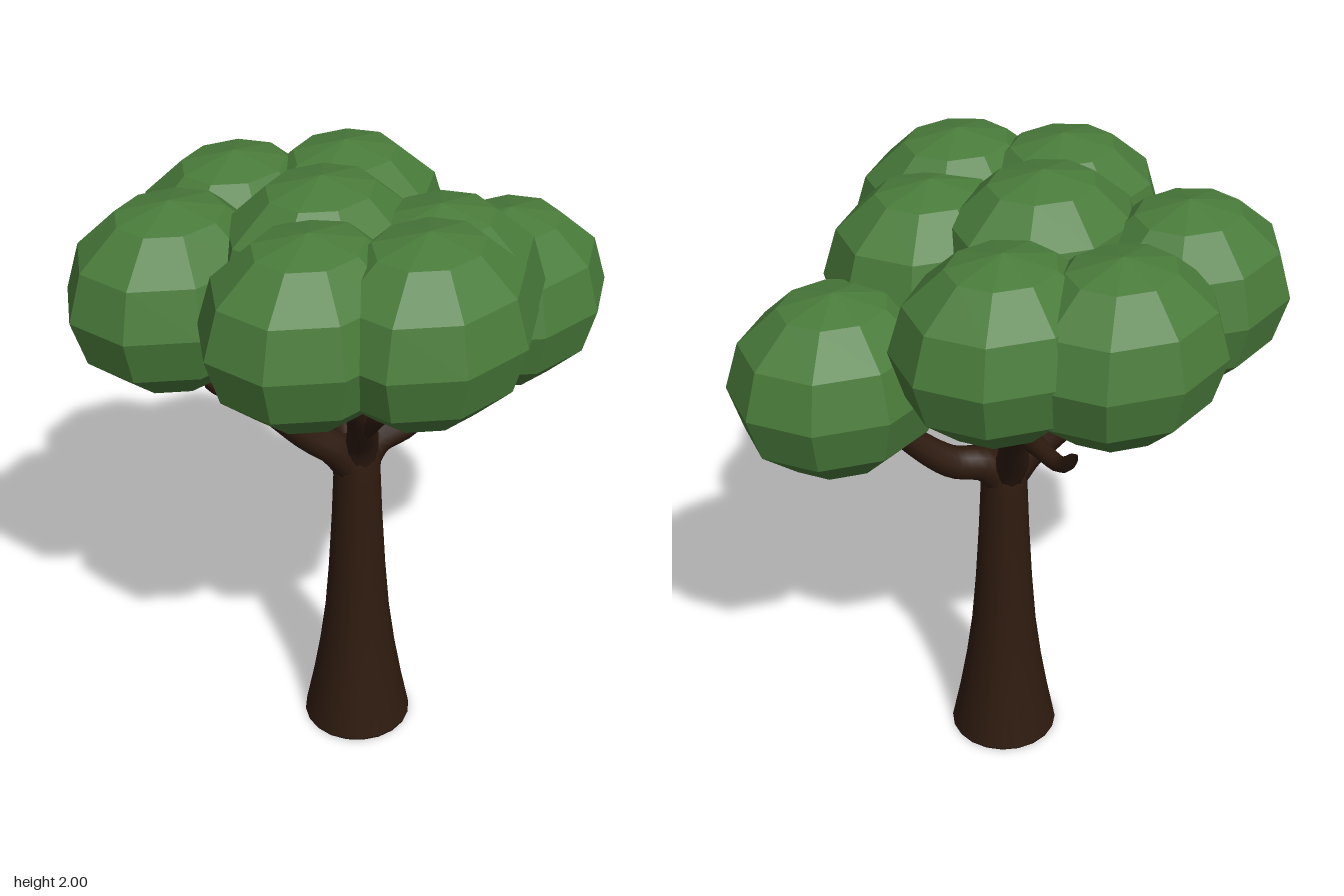
import * as THREE from 'three';

const bark = new THREE.MeshStandardMaterial({ color: 0x2e1b0f });
const leaf = new THREE.MeshStandardMaterial({ color: 0x4a7c3b, flatShading: true });

// Tube along a smooth path, thinning from r0 to r1 with a rounded, closed tip
function branch(name, r0, r1, points) {
  const curve = new THREE.CatmullRomCurve3(points.map((p) => new THREE.Vector3(...p)));
  const rings = 24, sides = 10;
  const geo = new THREE.TubeGeometry(curve, rings, 1, sides);
  const pos = geo.attributes.position;
  const v = new THREE.Vector3();
  for (let i = 0; i <= rings; i++) {
    const t = i / rings;
    const centre = curve.getPointAt(t);
    const tip = i === rings ? 0 : i === rings - 1 ? 0.8 : 1;
    const r = (r0 + (r1 - r0) * t) * tip;
    for (let j = 0; j <= sides; j++) {
      const k = i * (sides + 1) + j;
      v.fromBufferAttribute(pos, k).sub(centre).multiplyScalar(r).add(centre);
      pos.setXYZ(k, v.x, v.y, v.z);
    }
  }
  const mesh = new THREE.Mesh(geo, bark);
  mesh.name = name;
  return mesh;
}

export function createModel() {
  const tree = new THREE.Group();
  tree.name = 'tree';

  // Trunk: flared foot narrowing to a rounded crotch
  const profile = [
    [0, 0], [0.172, 0], [0.171, 0.005], [0.145, 0.14], [0.122, 0.28], [0.103, 0.43],
    [0.09, 0.6], [0.079, 0.8], [0.073, 0.95], [0.073, 1.04], [0.055, 1.09], [0, 1.11],
  ].map(([r, y]) => new THREE.Vector2(r, y));
  const trunk = new THREE.Mesh(new THREE.LatheGeometry(profile, 20), bark);
  trunk.name = 'trunk';
  trunk.position.set(-0.028, 0, 0.022);
  tree.add(trunk);

  // Main limbs and their forks
  const limbs = new THREE.Group();
  limbs.name = 'branches';
  limbs.add(
    branch('leftBranch', 0.06, 0.028,
      [[-0.02, 0.99, 0.02], [0.04, 1.06, 0.03], [0.14, 1.09, 0.06], [0.29, 1.23, 0.11], [0.42, 1.4, 0.14]]),
    branch('rightBranch', 0.06, 0.028,
      [[-0.04, 0.99, 0.02], [-0.1, 1.07, 0.0], [-0.17, 1.13, -0.03], [-0.31, 1.28, -0.09], [-0.46, 1.4, -0.16]]),
    branch('frontBranch', 0.055, 0.025,
      [[-0.03, 1.0, 0.03], [-0.05, 1.11, 0.07], [-0.12, 1.24, 0.14], [-0.22, 1.39, 0.2], [-0.3, 1.52, 0.21]]),
    branch('frontFork', 0.032, 0.02,
      [[-0.09, 1.18, 0.11], [-0.14, 1.32, 0.24], [-0.13, 1.47, 0.36]]),
    branch('frontTwig', 0.028, 0.018,
      [[-0.08, 1.19, 0.1], [-0.06, 1.33, 0.13], [0.0, 1.37, 0.2], [0.06, 1.48, 0.25]]),
    branch('backBranch', 0.055, 0.018,
      [[-0.03, 1.0, 0.01], [-0.01, 1.1, -0.05], [0.05, 1.25, -0.14], [0.08, 1.33, -0.21],
        [0.1, 1.35, -0.33], [0.11, 1.365, -0.46], [0.11, 1.44, -0.53]]),
    branch('backFork', 0.036, 0.024,
      [[0.03, 1.21, -0.12], [0.11, 1.31, -0.16], [0.17, 1.38, -0.19], [0.2, 1.5, -0.2]]),
  );
  tree.add(limbs);

  // Crown: equal faceted ellipsoids, one corner of each ring pointing to the back
  const puff = new THREE.SphereGeometry(1, 9, 6, -Math.PI / 2).scale(0.328, 0.285, 0.285);
  const crown = new THREE.Group();
  crown.name = 'crown';
  [
    [-0.15, 1.715, 0.01],
    [-0.127, 1.695, 0.412],
    [-0.364, 1.695, 0.205],
    [0.07, 1.648, 0.255],
    [0.145, 1.645, -0.22],
    [-0.123, 1.633, -0.402],
    [-0.465, 1.645, -0.26],
    [0.465, 1.455, 0.146],
  ].forEach((p, i) => {
    const mesh = new THREE.Mesh(puff, leaf);
    mesh.name = `leafClump${i + 1}`;
    mesh.position.set(...p);
    crown.add(mesh);
  });
  tree.add(crown);

  return tree;
}
